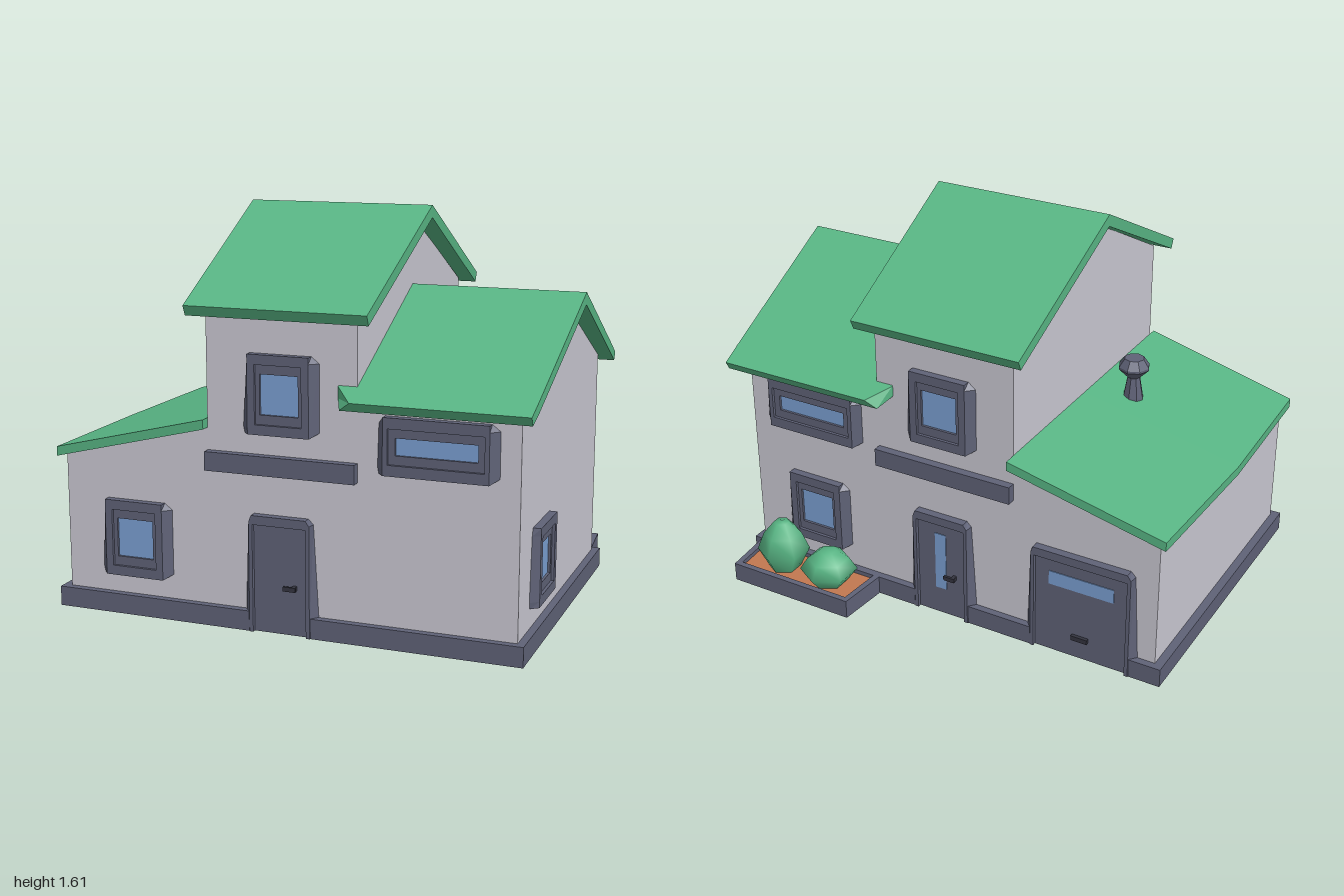
import * as THREE from 'three';

const material = (name, color) => Object.assign(new THREE.MeshStandardMaterial({ color }), { name });
const wall = material('wall plaster', 0xcac8d2);
const green = material('green', 0x58b584);
const slate = material('slate trim', 0x5f6277);
const glass = material('window glass', 0x7a9fd2);
const soil = material('soil', 0xc27850);
const dark = material('dark metal', 0x33343f);

const FRONT = 0.70, BACK = -0.54, MID = 0.08;

function add(parent, name, geometry, mat, x = 0, y = 0, z = 0) {
  const mesh = new THREE.Mesh(geometry, mat);
  mesh.name = name;
  mesh.position.set(x, y, z);
  parent.add(mesh);
  return mesh;
}

const polygon = (pts) => new THREE.Shape(pts.map(([x, y]) => new THREE.Vector2(x, y)));
const extrude = (shape, depth) => new THREE.ExtrudeGeometry(shape, { depth, bevelEnabled: false });

function box(parent, name, mat, x0, x1, y0, y1, z0, z1) {
  return add(parent, name, new THREE.BoxGeometry(x1 - x0, y1 - y0, z1 - z0), mat,
    (x0 + x1) / 2, (y0 + y1) / 2, (z0 + z1) / 2);
}

function rectHole(shape, hw, hh) {
  shape.holes.push(new THREE.Path([[-hw, -hh], [-hw, hh], [hw, hh], [hw, -hh]].map(([x, y]) => new THREE.Vector2(x, y))));
  return shape;
}

// Gabled wall block running along x
function gable(x0, x1, eave, ridge) {
  const shape = polygon([[-FRONT, 0.05], [-BACK, 0.05], [-BACK, eave], [-MID, ridge], [-FRONT, eave]]);
  return extrude(shape, x1 - x0).rotateY(Math.PI / 2).translate(x0, 0, 0);
}

// Roof slab through stations { z, y, x0, x1 } from back to front; low = { z, y, x0, x1 } of the underside
function slab(stations) {
  const n = stations.length, pos = [];
  const ring = [...stations, ...stations.map((s) => s.low).reverse()];
  const left = ring.map((s) => [s.x0, s.y, s.z]);
  const right = ring.map((s) => [s.x1, s.y, s.z]);
  const quad = (a, b, c, d) => pos.push(...a, ...b, ...c, ...a, ...c, ...d);
  for (let i = 0; i < 2 * n; i++) {
    const j = (i + 1) % (2 * n);
    quad(left[i], left[j], right[j], right[i]);
  }
  for (let i = 0; i < n - 1; i++) {
    const a = 2 * n - 1 - i;
    quad(right[i], right[i + 1], right[a - 1], right[a]);
    quad(left[i + 1], left[i], left[a], left[a - 1]);
  }
  const geo = new THREE.BufferGeometry();
  geo.setAttribute('position', new THREE.Float32BufferAttribute(pos, 3));
  geo.computeVertexNormals();
  return geo;
}

// Mirror half stations (distance from ridge, y, x0, x1, thickness, inset, underside x0) about the ridge
function ridgeRoof(half) {
  const make = (sign) => ([d, y, x0, x1, t, inset = 0, lx0 = x0]) => ({
    z: MID + sign * d, y, x0, x1, low: { z: MID + sign * (d - inset), y: y - t, x0: lx0, x1 }
  });
  return slab([...half.slice(1).reverse().map(make(-1)), ...half.map(make(1))]);
}

// Pull the front outer rim of an extruded surround inwards so its sides slope
function slopeSides(geo, a, depth) {
  const p = geo.attributes.position;
  for (let i = 0; i < p.count; i++) {
    if (p.getZ(i) > depth / 2 && Math.abs(p.getX(i)) > a) p.setX(i, Math.sign(p.getX(i)) * a);
  }
  geo.computeVertexNormals();
  return geo;
}

// Window: sloped surround, recessed inner frame and pane
function windowUnit(name, a, h, holeW, holeH, paneW, paneH, topLeft) {
  const g = new THREE.Group();
  g.name = name;
  const outline = polygon([[-a - 0.025, -h], [a, -h], [a + 0.032, -h + 0.02], [a + 0.032, h - 0.025],
    [a, h], [-a, h], [-a - topLeft, h - 0.03], [-a - 0.03, -h + 0.025]]);
  add(g, 'windowSurround', slopeSides(extrude(rectHole(outline, holeW, holeH), 0.032), a, 0.032), slate);
  const inner = polygon([[-holeW, -holeH], [holeW, -holeH], [holeW, holeH], [-holeW, holeH]]);
  add(g, 'windowFrame', extrude(rectHole(inner, paneW, paneH), 0.02), slate);
  box(g, 'windowPane', glass, -paneW, paneW, -paneH, paneH, 0.002, 0.01);
  return g;
}
const squareWindow = () => windowUnit('squareWindow', 0.125, 0.154, 0.095, 0.115, 0.078, 0.078, 0.01);
const wideWindow = () => windowUnit('wideWindow', 0.203, 0.11, 0.185, 0.068, 0.158, 0.033, 0.025);

// Door: sloped surround open at the ground, recessed panel
function doorUnit(name, a) {
  const g = new THREE.Group(), w = a - 0.015;
  g.name = name;
  const outline = polygon([[-a - 0.03, 0], [-w, 0], [-w, 0.43], [w, 0.43], [w, 0], [a + 0.03, 0],
    [a + 0.005, 0.445], [a - 0.015, 0.466], [-a + 0.01, 0.466], [-a - 0.01, 0.44]]);
  add(g, 'doorSurround', slopeSides(extrude(outline, 0.034), a, 0.034), slate);
  box(g, 'doorPanel', slate, -w, w, 0, 0.43, -0.01, 0.018);
  return g;
}

function leverDoor(name) {
  const g = doorUnit(name, 0.125);
  box(g, 'handleStem', dark, 0.053, 0.068, 0.182, 0.2, 0.018, 0.04);
  box(g, 'handleLever', dark, 0.02, 0.07, 0.182, 0.2, 0.034, 0.044);
  return g;
}

function place(parent, unit, x, y, z, turn = 0) {
  unit.position.set(x, y, z);
  unit.rotation.y = turn;
  parent.add(unit);
}

export function createModel() {
  const house = new THREE.Group();
  house.name = 'house';

  // Plinth with door notches
  const plan = polygon([[-0.98, -0.73], [-0.1225, -0.73], [-0.1225, -0.715], [0.0975, -0.715], [0.0975, -0.73],
    [0.95, -0.73], [0.95, 0.57], [0.11, 0.57], [0.11, 0.555], [-0.11, 0.555], [-0.11, 0.57],
    [-0.43, 0.57], [-0.43, 0.555], [-0.83, 0.555], [-0.83, 0.57], [-0.98, 0.57]]);
  add(house, 'plinth', extrude(plan, 0.08).rotateX(-Math.PI / 2), slate);

  // Walls
  add(house, 'towerWalls', gable(-0.32, 0.295, 1.245, 1.565), wall);
  add(house, 'wingWalls', gable(0.295, 0.92, 0.945, 1.255), wall);
  const side = polygon([[-0.945, 0.05], [-0.32, 0.05], [-0.32, 0.79], [-0.945, 0.64]]);
  add(house, 'garageWalls', extrude(side, FRONT - BACK).translate(0, 0, BACK), wall);

  // Gabled roofs
  add(house, 'towerRoof', ridgeRoof([[0, 1.61, -0.40, 0.375, 0.05], [0.69, 1.265, -0.38, 0.357, 0.04, 0.018]]), green);
  add(house, 'wingRoof', ridgeRoof([[0, 1.295, 0.22, 1.0, 0.048],
    [0.625, 0.987, 0.22, 0.98, 0.045], [0.71, 0.945, 0.295, 0.976, 0.034, 0.018, 0.25]]), green);

  // Lean-to roof: flat slab sheared upwards towards the tower
  const station = (z, x0) => ({ z, y: 0.655, x0, x1: -0.32, low: { z, y: 0.617, x0, x1: -0.32 } });
  const lean = slab([station(-0.575, -0.98), station(MID, -1), station(0.72, -0.98)]);
  const p = lean.attributes.position;
  for (let i = 0; i < p.count; i++) {
    const rise = p.getX(i) + 1;
    p.setY(i, p.getY(i) + rise * 0.25);
    p.setZ(i, p.getZ(i) + Math.sign(p.getZ(i) - MID) * rise * 0.03);
  }
  lean.computeVertexNormals();
  add(house, 'garageRoof', lean, green);

  // Ledges, front and back
  box(house, 'frontLedge', slate, -0.32, 0.295, 0.625, 0.70, FRONT, 0.735);
  box(house, 'backLedge', slate, -0.32, 0.295, 0.625, 0.70, -0.575, BACK);

  // Windows
  place(house, squareWindow(), -0.0125, 0.936, FRONT);
  place(house, wideWindow(), 0.607, 0.78, FRONT);
  place(house, squareWindow(), -0.637, 0.313, FRONT);
  place(house, squareWindow(), 0.92, 0.313, 0.388, Math.PI / 2);
  place(house, squareWindow(), 0, 0.936, BACK, Math.PI);
  place(house, wideWindow(), 0.61, 0.78, BACK, Math.PI);
  place(house, squareWindow(), 0.61, 0.313, BACK, Math.PI);

  // Doors
  place(house, leverDoor('frontDoor'), -0.0125, 0, FRONT);
  const backDoor = leverDoor('backDoor');
  box(backDoor, 'doorPane', glass, -0.03, 0.02, 0.12, 0.38, 0.016, 0.021);
  place(house, backDoor, 0, 0, BACK, Math.PI);
  const garage = doorUnit('garageDoor', 0.215);
  box(garage, 'garagePane', glass, -0.14, 0.14, 0.31, 0.37, 0.016, 0.021);
  box(garage, 'garageHandle', dark, -0.035, 0.035, 0.085, 0.105, 0.018, 0.032);
  place(house, garage, -0.63, 0, BACK, Math.PI);

  // Chimney pot
  const pot = [[0.048, 0.74], [0.042, 0.79], [0.027, 0.875], [0.066, 0.915], [0.066, 0.925], [0.042, 0.96], [0, 0.96]];
  const chimney = new THREE.LatheGeometry(pot.map(([r, y]) => new THREE.Vector2(r, y)), 8).toNonIndexed();
  chimney.computeVertexNormals();
  add(house, 'chimney', chimney, slate, -0.475, 0, 0.2);

  // Planter box with soil
  const rim = polygon([[0.305, 0.56], [0.915, 0.56], [0.895, 0.785], [0.325, 0.785]]);
  rim.holes.push(new THREE.Path([[0.333, 0.572], [0.347, 0.76], [0.873, 0.76], [0.887, 0.572]].map(([x, y]) => new THREE.Vector2(x, y))));
  add(house, 'planter', extrude(rim, 0.08).rotateX(-Math.PI / 2), slate);
  const bed = polygon([[0.32, 0.565], [0.9, 0.565], [0.885, 0.775], [0.335, 0.775]]);
  add(house, 'planterBase', extrude(bed, 0.04).rotateX(-Math.PI / 2), slate);
  add(house, 'planterSoil', extrude(bed, 0.02).rotateX(-Math.PI / 2), soil, 0, 0.042, 0);

  // Bushes
  for (const [x, r, h] of [[0.72, 0.11, 0.22], [0.49, 0.12, 0.15]]) {
    const profile = [[0.6, 0], [1, 0.4], [0.72, 0.75], [0.3, 1], [0, 1]];
    add(house, 'bush', new THREE.LatheGeometry(profile.map(([a, b]) => new THREE.Vector2(a * r, b * h)), 6), green, x, 0.06, -0.667);
  }
  return house;
}
